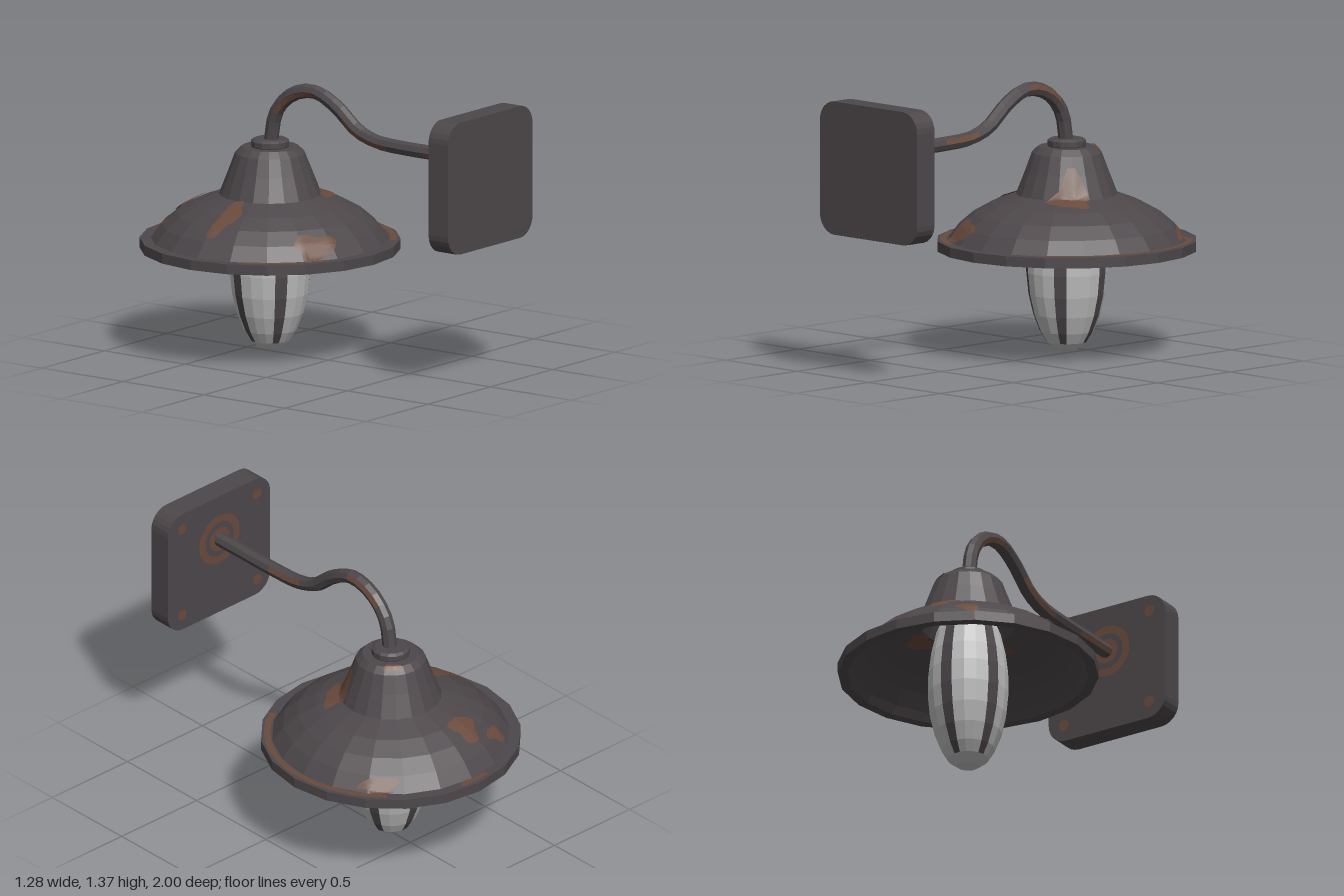
import * as THREE from 'three';

const SIDES = 20;      // facets around the shade and the bulb
const LAMP_Z = -0.36;  // axis of the lamp
const rad = THREE.MathUtils.degToRad;

const metal = new THREE.MeshStandardMaterial({ color: 0x4d474a });
metal.name = 'dark iron';
const rust = new THREE.MeshStandardMaterial({ color: 0x694a3c, side: THREE.DoubleSide });
rust.name = 'rust brown';
const glass = new THREE.MeshStandardMaterial({ color: 0xbcbcbc });
glass.name = 'frosted glass';

// Shade profiles as [radius, height], from the rim inwards and upwards
const OUTER = [[0.64, 0.52], [0.64, 0.57], [0.585, 0.57], [0.53, 0.64], [0.46, 0.70],
  [0.37, 0.75], [0.25, 0.795], [0.205, 0.91], [0.172, 1.0], [0.14, 1.03], [0, 1.03]];
const INNER = [[0.59, 0.52], [0.565, 0.56], [0.51, 0.63], [0.44, 0.685], [0.35, 0.735],
  [0.23, 0.78], [0.185, 0.9], [0.15, 0.99], [0, 1.0]];

export function createModel() {
  const model = new THREE.Group();
  model.name = 'wallLamp';

  const add = (name, geometry, material, parent = model) => {
    const mesh = new THREE.Mesh(geometry, material);
    mesh.name = name;
    parent.add(mesh);
    return mesh;
  };
  const facet = (geometry) => {
    const g = geometry.index ? geometry.toNonIndexed() : geometry;
    g.computeVertexNormals();
    return g;
  };
  const lathe = (points, sides = SIDES, start = 0, length = Math.PI * 2) =>
    new THREE.LatheGeometry(points.map(([r, y]) => new THREE.Vector2(r, y)), sides, start, length);

  // Wall plate with rounded corners
  const w = 0.34, h = 0.33, c = 0.1;
  const outline = new THREE.Shape();
  outline.moveTo(-w + c, -h);
  outline.lineTo(w - c, -h);
  outline.absarc(w - c, -h + c, c, -Math.PI / 2, 0);
  outline.absarc(w - c, h - c, c, 0, Math.PI / 2);
  outline.absarc(-w + c, h - c, c, Math.PI / 2, Math.PI);
  outline.absarc(-w + c, -h + c, c, Math.PI, Math.PI * 1.5);
  const plate = add('wallPlate', new THREE.ExtrudeGeometry(outline,
    { depth: 0.12, bevelEnabled: false, curveSegments: 3 }), metal);
  plate.position.set(0, 1.04, 0.88);

  // Rust rings round the arm root and spots at the plate corners
  for (const [r0, r1] of [[0.03, 0.065], [0.095, 0.135]]) {
    const ring = add('plateRustRing', new THREE.RingGeometry(r0, r1, 20), rust);
    ring.position.set(0, 1.13, 0.876);
    ring.rotation.y = Math.PI;
  }
  for (const sx of [-1, 1]) for (const sy of [-1, 1]) {
    const spot = add('plateRustSpot', new THREE.CircleGeometry(0.03, 9), rust);
    spot.position.set(sx * 0.25, 1.04 + sy * 0.245, 0.876);
    spot.rotation.y = Math.PI;
  }

  // Swan-neck arm, with rusty streaks along some of its faces
  const path = new THREE.CatmullRomCurve3([[0.89, 1.13], [0.7, 1.13], [0.48, 1.13], [0.3, 1.14],
    [0.18, 1.18], [0.06, 1.275], [-0.06, 1.335], [-0.15, 1.335], [-0.25, 1.29], [-0.325, 1.2],
    [-0.355, 1.05]].map(([z, y]) => new THREE.Vector3(0, y, z)));
  const RINGS = 26, ARM_SIDES = 8;
  const armGeometry = facet(new THREE.TubeGeometry(path, RINGS, 0.036, ARM_SIDES));
  for (let i = 0; i < RINGS; i++) for (let j = 0; j < ARM_SIDES; j++) {
    const streak = (j === 2 && i % 9 < 5) || (j === 6 && i % 11 > 6);
    armGeometry.addGroup((i * ARM_SIDES + j) * 6, 6, streak ? 1 : 0);
  }
  add('arm', armGeometry, [metal, rust]);

  const lamp = new THREE.Group();
  lamp.name = 'lamp';
  lamp.position.z = LAMP_Z;
  model.add(lamp);

  // Shade shell: down the inside, round the rim and up the outside
  add('shade', facet(lathe([...INNER].reverse().concat(OUTER))), metal, lamp);

  // Collar where the arm meets the shade
  add('collar', facet(lathe([[0.09, 1.02], [0.095, 1.035], [0.095, 1.06], [0.08, 1.07], [0, 1.07]], 14)),
    metal, lamp);

  // Worn arcs on top of the rim
  for (const [from, to] of [[30, 135], [-65, -24], [172, 188]]) {
    add('rimRust', lathe([[0.622, 0.574], [0.59, 0.574]], Math.ceil((to - from) / 9), rad(from), rad(to - from)),
      rust, lamp);
  }

  // Height of a faceted shade profile above the plan position x, z
  const heightAt = (profile, x, z) => {
    const step = (Math.PI * 2) / SIDES;
    const phi = Math.atan2(x, z) + Math.PI * 2;
    const r = Math.hypot(x, z) * Math.cos((phi % step) - step / 2) / Math.cos(step / 2);
    for (let i = 1; i < profile.length; i++) {
      const [r0, y0] = profile[i - 1], [r1, y1] = profile[i];
      if (r0 > r1 && r <= r0 && r >= r1) return y0 + (y1 - y0) * (r0 - r) / (r0 - r1);
    }
    return profile[0][1];
  };

  // Irregular rust patch draped over the shade
  const patch = (name, profile, lift, cx, cz, a, b, turn, seed) => {
    const g = new THREE.RingGeometry(0.001, 1, 18, 6);
    const p = g.attributes.position;
    for (let i = 0; i < p.count; i++) {
      const u = p.getX(i), v = p.getY(i), t = Math.atan2(v, u);
      const k = 1 + 0.2 * Math.sin(3 * t + seed) + 0.12 * Math.sin(5 * t + 2 * seed);
      const x = cx + k * (u * a * Math.cos(turn) - v * b * Math.sin(turn));
      const z = cz + k * (u * a * Math.sin(turn) + v * b * Math.cos(turn));
      p.setXYZ(i, x, heightAt(profile, x, z) + lift, z);
    }
    if (lift > 0) g.index.array.reverse();
    g.computeVertexNormals();
    add(name, g, rust, lamp);
  };
  [[-0.12, -0.4, 0.07, 0.07, 0], [-0.29, -0.44, 0.06, 0.03, -0.2], [-0.38, 0.03, 0.13, 0.05, 0],
    [0.2, 0.17, 0.1, 0.065, -0.8], [0.42, -0.37, 0.09, 0.03, 0.8], [-0.25, 0.47, 0.11, 0.05, 0.45],
    [0.09, -0.11, 0.05, 0.02, 0.7],
  ].forEach(([x, z, a, b, turn], i) => patch('shadeRust', OUTER, 0.007, x, z, a, b, turn, i * 1.7));
  [[0.02, 0.27, 0.08, 0.05, 0], [0.27, -0.02, 0.05, 0.08, 0], [-0.2, -0.18, 0.07, 0.05, 0.8],
  ].forEach(([x, z, a, b, turn], i) => patch('innerRust', INNER, -0.007, x, z, a, b, turn, i * 2.3));

  // Glass bulb; every fourth column of facets is a cage bar, ending above the tip
  const bulbProfile = [[0, 0.005], [0.055, 0.028], [0.1, 0.062], [0.132, 0.115], [0.165, 0.2],
    [0.188, 0.3], [0.199, 0.41], [0.197, 0.52], [0.185, 0.62], [0.16, 0.73], [0.12, 0.83], [0.1, 0.99]];
  const rows = bulbProfile.length - 1, tipRows = 2;
  const bulb = facet(lathe(bulbProfile, SIDES, rad(27)));
  for (let i = 0; i < SIDES; i++) {
    bulb.addGroup(i * rows * 6, tipRows * 6, 0);
    bulb.addGroup((i * rows + tipRows) * 6, (rows - tipRows) * 6, i % 4 === 0 ? 1 : 0);
  }
  add('bulbAndCage', bulb, [glass, metal], lamp);

  return model;
}
